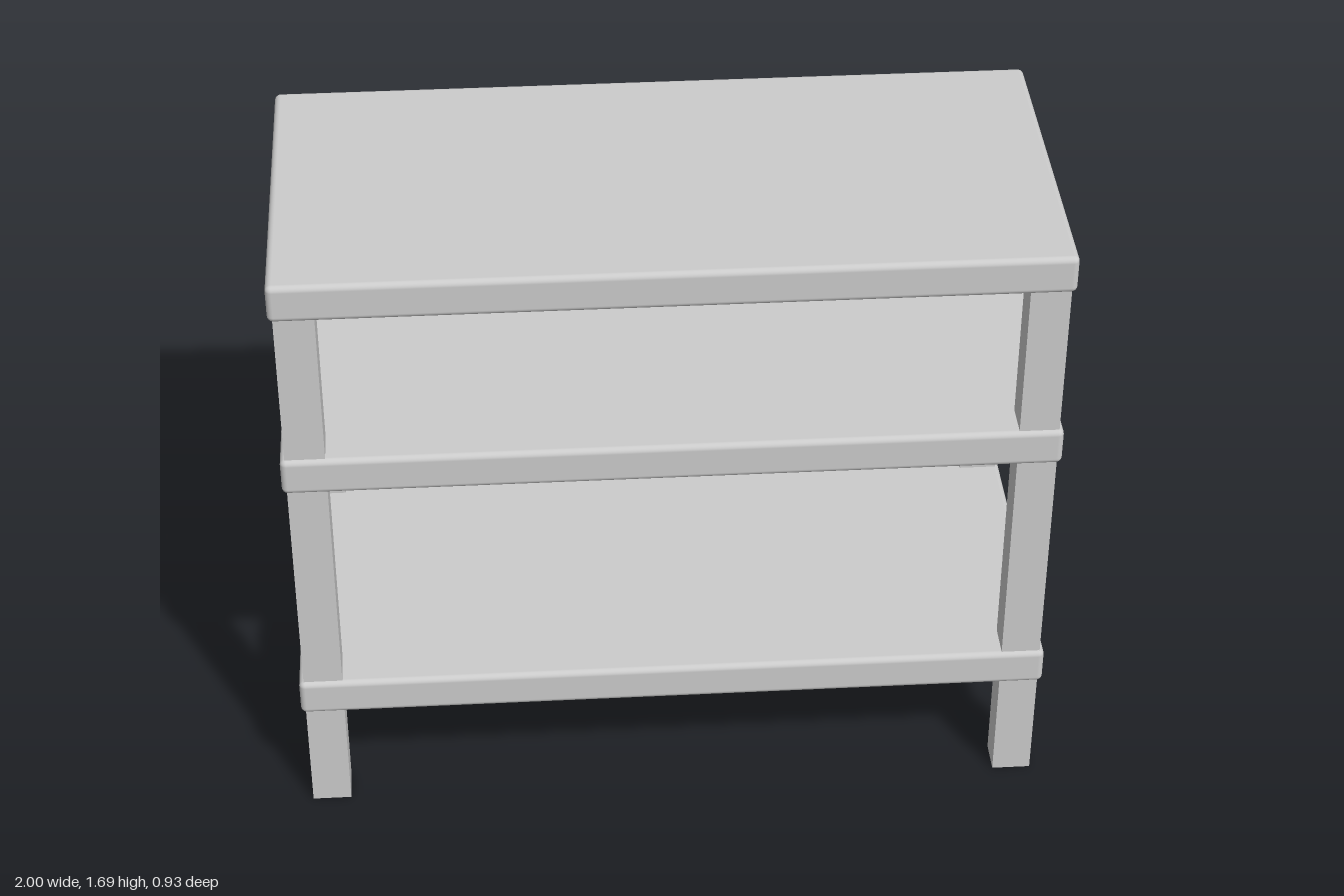
import * as THREE from 'three';
import { RoundedBoxGeometry } from 'three/addons/geometries/RoundedBoxGeometry.js';

export function createModel() {
  const model = new THREE.Group();
  model.name = 'shelfUnit';

  const shelfMaterial = new THREE.MeshStandardMaterial({ color: 0xcccccc });
  const legMaterial = new THREE.MeshStandardMaterial({
    color: 0xcccccc, flatShading: true, side: THREE.DoubleSide,
  });

  // Three boards with softly rounded edges
  const shelfGeometry = new RoundedBoxGeometry(2, 0.104, 0.93, 3, 0.016);
  const shelves = { bottomShelf: 0.37, middleShelf: 1.11, topShelf: 1.64 };
  for (const [name, y] of Object.entries(shelves)) {
    const shelf = new THREE.Mesh(shelfGeometry, shelfMaterial);
    shelf.name = name;
    shelf.position.y = y;
    model.add(shelf);
  }

  // Four hollow square legs, open at the foot, running up to the top board
  const legHeight = 1.6;
  const legGeometry = new THREE.CylinderGeometry(Math.SQRT1_2, Math.SQRT1_2, 1, 4, 1, true)
    .rotateY(Math.PI / 4)
    .scale(0.103, legHeight, 0.09);
  for (const x of [-1, 1]) {
    for (const z of [-1, 1]) {
      const leg = new THREE.Mesh(legGeometry, legMaterial);
      leg.name = (z > 0 ? 'front' : 'back') + (x > 0 ? 'Left' : 'Right') + 'Leg';
      leg.position.set(x * 0.936, legHeight / 2, z * 0.409);
      model.add(leg);
    }
  }

  return model;
}
